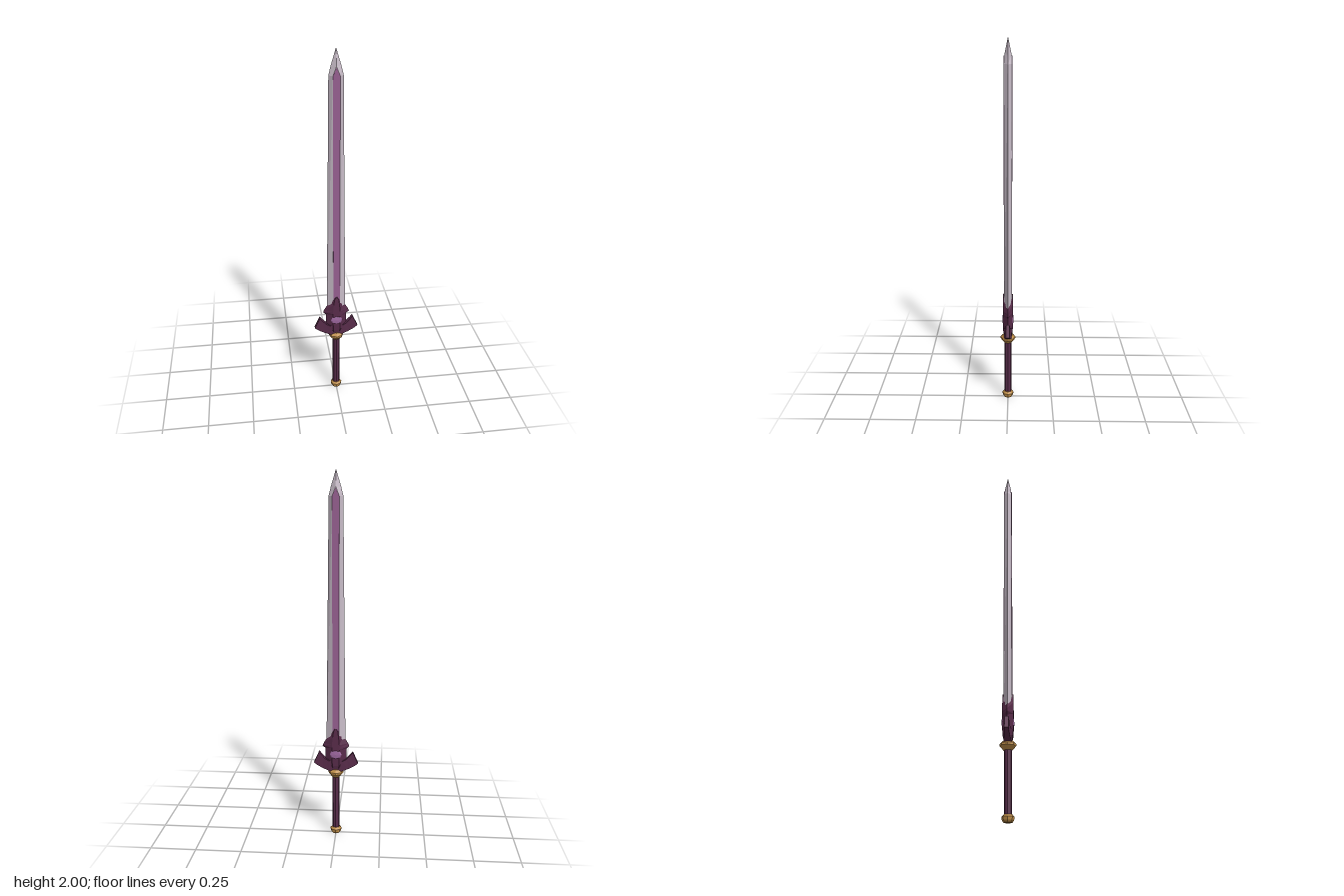
import * as THREE from 'three';

const mat = (name, color) => {
  const m = new THREE.MeshStandardMaterial({ color });
  m.name = name;
  return m;
};

// Give every face its own normal for the faceted look
const faceted = (geo) => {
  const g = geo.index ? geo.toNonIndexed() : geo;
  g.computeVertexNormals();
  return g;
};

// Skin a list of rings (equal point counts) and cap both ends
function loft(rings) {
  const pos = [];
  const tri = (a, b, c) => pos.push(...a, ...b, ...c);
  const n = rings[0].length;
  for (let i = 0; i < rings.length - 1; i++) {
    for (let j = 0; j < n; j++) {
      const k = (j + 1) % n;
      const [a, b, c, d] = [rings[i][j], rings[i][k], rings[i + 1][k], rings[i + 1][j]];
      tri(a, d, b);
      tri(b, d, c);
    }
  }
  const end = rings[rings.length - 1];
  for (let j = 1; j < n - 1; j++) {
    tri(rings[0][0], rings[0][j], rings[0][j + 1]);
    tri(end[0], end[j + 1], end[j]);
  }
  const g = new THREE.BufferGeometry();
  g.setAttribute('position', new THREE.Float32BufferAttribute(pos, 3));
  g.computeVertexNormals();
  return g;
}

// Six-sided section: sharp left and right edges, flat front and back
const hex = ([y, w, z, f]) => [
  [w, y, 0], [f, y, z], [-f, y, z], [-w, y, 0], [-f, y, -z], [f, y, -z],
];

// Eight-sided turned part
const turned = (profile) =>
  faceted(new THREE.LatheGeometry(profile.map(([r, y]) => new THREE.Vector2(r, y)), 8));

export function createModel() {
  const steel = mat('steel', 0xc9bdc9);
  const violet = mat('violet inlay', 0x965f90);
  const plum = mat('dark plum', 0x582c4a);
  const gold = mat('gold', 0xbf8e48);
  const gemColor = mat('gem purple', 0x9d679f);

  const model = new THREE.Group();
  model.name = 'sword';
  const add = (name, geo, material) => {
    const m = new THREE.Mesh(geo, material);
    m.name = name;
    model.add(m);
    return m;
  };

  // Blade: y, half width, half thickness, half width of the flat
  add('blade', loft([
    [0.48, 0.053, 0.021, 0.018],
    [1.87, 0.037, 0.021, 0.018],
    [1.915, 0.026, 0.018, 0.0005],
    [2.0, 0.0003, 0.0003, 0.0001],
  ].map(hex)), steel);

  // Pointed inlay strip on both faces
  const strip = new THREE.Shape([
    [-0.018, 0.5], [0.018, 0.5], [0.018, 1.87], [0, 1.91], [-0.018, 1.87],
  ].map(([x, y]) => new THREE.Vector2(x, y)));
  const stripGeo = new THREE.ExtrudeGeometry(strip, { depth: 0.002, bevelEnabled: false });
  stripGeo.translate(0, 0, 0.02);

  // Guard body, narrowing to a prong on each face of the blade
  add('guardBody', loft([
    [0.385, 0.03, 0.018, 0.012],
    [0.42, 0.05, 0.026, 0.018],
    [0.46, 0.058, 0.028, 0.02],
    [0.515, 0.058, 0.028, 0.02],
    [0.53, 0.074, 0.028, 0.02],
    [0.545, 0.068, 0.028, 0.02],
    [0.59, 0.042, 0.028, 0.016],
    [0.622, 0.023, 0.028, 0.012],
    [0.638, 0.006, 0.027, 0.004],
  ].map(hex)), plum);

  // Upswept wings: bottom corner, top corner, half thickness
  const wing = loft([
    [0.01, 0.385, 0.01, 0.45, 0.022],
    [0.035, 0.387, 0.035, 0.445, 0.02],
    [0.07, 0.4, 0.06, 0.457, 0.015],
    [0.1, 0.415, 0.078, 0.477, 0.012],
    [0.122, 0.431, 0.093, 0.496, 0.01],
  ].map(([bx, by, tx, ty, z]) => [[tx, ty, z], [tx, ty, -z], [bx, by, -z], [bx, by, z]]));

  // Faceted gem
  const gemGeo = turned([[0.033, 0], [0.026, 0.004], [0, 0.006]]);
  gemGeo.rotateX(Math.PI / 2);
  gemGeo.scale(1, 0.82, 1);
  gemGeo.translate(0, 0.488, 0.026);
  gemGeo.computeVertexNormals();

  // Paired parts, repeated by a half turn
  [0, Math.PI].forEach((turn, i) => {
    const face = i ? 'back' : 'front';
    add(face + 'Inlay', stripGeo, violet).rotation.y = turn;
    add(face + 'Gem', gemGeo, gemColor).rotation.y = turn;
    add(i ? 'rightWing' : 'leftWing', wing, plum).rotation.y = turn;
  });

  // Grip with gold collar and pommel
  add('grip', turned([[0.02, 0.02], [0.021, 0.36]]), plum);
  add('collar', turned([
    [0, 0.347], [0.022, 0.348], [0.041, 0.37], [0.041, 0.381], [0.026, 0.396], [0, 0.398],
  ]), gold);
  add('pommel', turned([
    [0, 0], [0.022, 0.002], [0.029, 0.012], [0.032, 0.028], [0.022, 0.039], [0, 0.04],
  ]), gold);

  return model;
}
